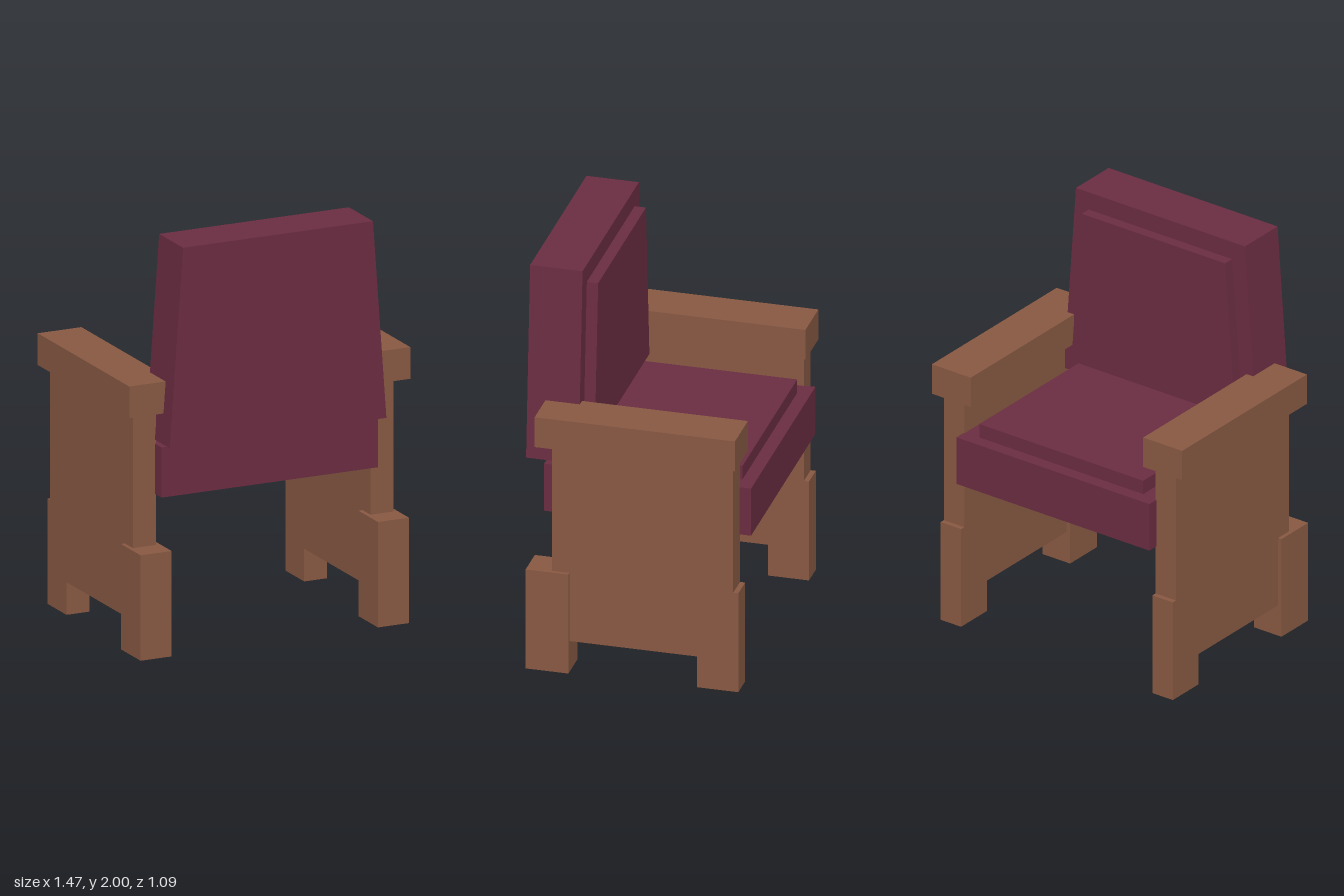
import * as THREE from 'three';

const wood = new THREE.MeshStandardMaterial({ color: 0x875842 });
wood.name = 'brown wood';
const fabric = new THREE.MeshStandardMaterial({ color: 0x6a2c41 });
fabric.name = 'maroon upholstery';

// Box given by its minimum and maximum corners
function block(name, material, [x0, y0, z0], [x1, y1, z1]) {
  const geometry = new THREE.BoxGeometry(x1 - x0, y1 - y0, z1 - z0);
  const mesh = new THREE.Mesh(geometry, material);
  mesh.position.set((x0 + x1) / 2, (y0 + y1) / 2, (z0 + z1) / 2);
  mesh.name = name;
  return mesh;
}

// Slab that narrows towards the top, extruded along z
function taperedSlab(name, bottomHalf, topHalf, y0, y1, z0, z1) {
  const shape = new THREE.Shape([
    new THREE.Vector2(-bottomHalf, y0),
    new THREE.Vector2(bottomHalf, y0),
    new THREE.Vector2(topHalf, y1),
    new THREE.Vector2(-topHalf, y1),
  ]);
  const geometry = new THREE.ExtrudeGeometry(shape, { depth: z1 - z0, bevelEnabled: false });
  geometry.translate(0, 0, z0);
  const mesh = new THREE.Mesh(geometry, fabric);
  mesh.name = name;
  return mesh;
}

// Side panel with the flush leg at the seat's open end, outlined in (z, y)
function sidePanel(name, centreX) {
  const outline = [
    [0.39, 0.16], [0.39, 1.18], [-0.49, 1.18], [-0.49, 0.515],
    [-0.515, 0.515], [-0.515, 0], [-0.315, 0], [-0.315, 0.16],
  ];
  const shape = new THREE.Shape(outline.map(([z, y]) => new THREE.Vector2(-z, y)));
  const geometry = new THREE.ExtrudeGeometry(shape, { depth: 0.12, bevelEnabled: false });
  geometry.translate(0, 0, -0.06);
  geometry.rotateY(Math.PI / 2);
  const mesh = new THREE.Mesh(geometry, wood);
  mesh.position.x = centreX;
  mesh.name = name;
  return mesh;
}

export function createModel() {
  const chair = new THREE.Group();
  chair.name = 'armchair';

  // Seat
  chair.add(block('seatBase', fabric, [-0.565, 0.765, -0.545], [0.565, 1.01, 0.46]));
  chair.add(block('seatCushion', fabric, [-0.48, 1.0, -0.48], [0.48, 1.08, 0.41]));

  // Back
  chair.add(taperedSlab('backrest', 0.565, 0.495, 1.03, 2, 0.293, 0.548));
  chair.add(taperedSlab('backCushion', 0.48, 0.42, 1.12, 1.91, 0.238, 0.3));

  // Wooden sides
  for (const side of [1, -1]) {
    const prefix = side > 0 ? 'left' : 'right';
    const frame = new THREE.Group();
    frame.name = prefix + 'Side';
    const xs = (inner, outer) => (side > 0 ? [inner, outer] : [-outer, -inner]);
    const [a0, a1] = xs(0.505, 0.733);
    const [l0, l1] = xs(0.538, 0.7);
    frame.add(sidePanel(prefix + 'Panel', side * 0.62));
    frame.add(block(prefix + 'Armrest', wood, [a0, 1.175, -0.513], [a1, 1.33, 0.46]));
    frame.add(block(prefix + 'BackLeg', wood, [l0, 0, 0.305], [l1, 0.515, 0.513]));
    chair.add(frame);
  }
  return chair;
}
